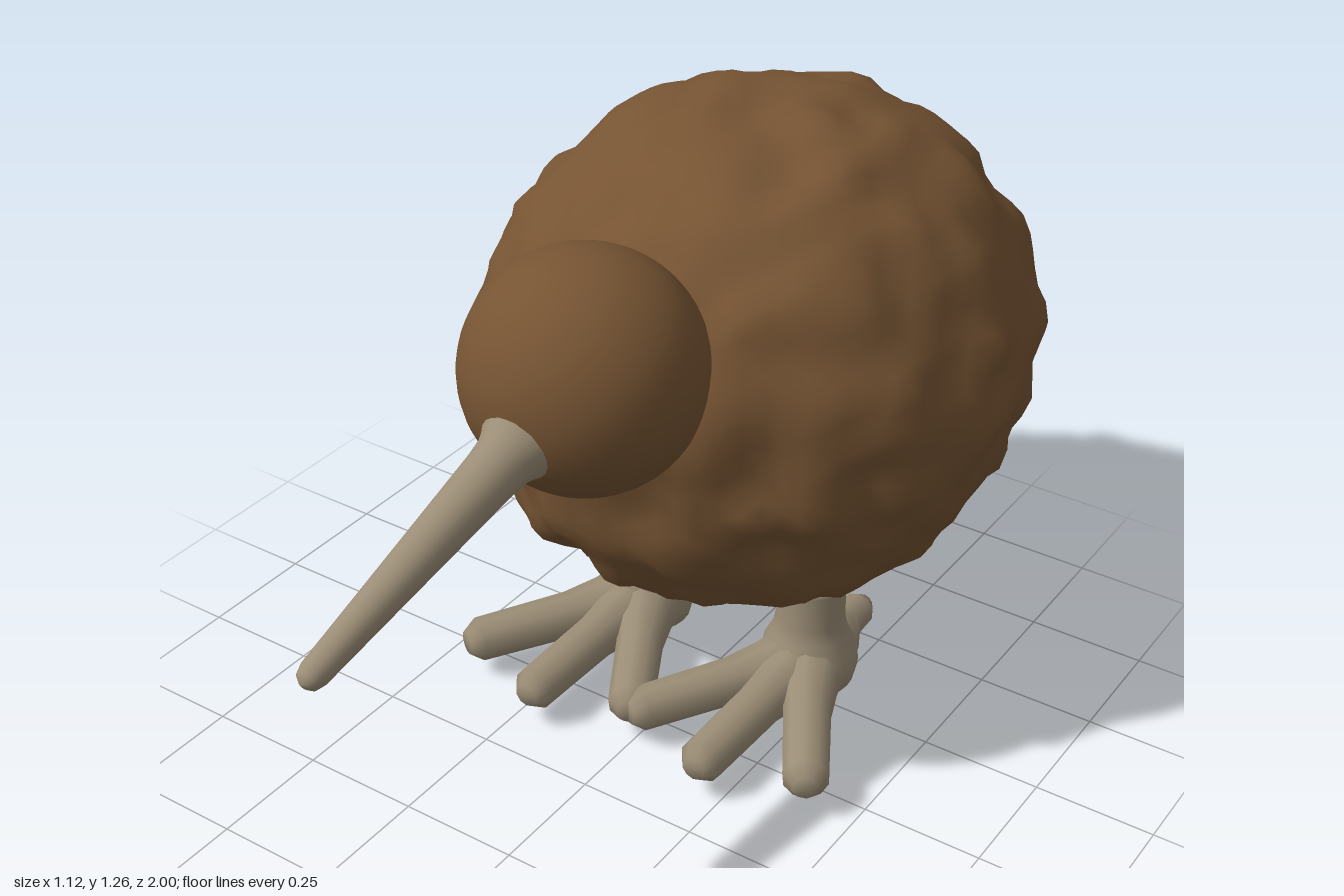
import * as THREE from 'three';
import { mergeVertices } from 'three/addons/utils/BufferGeometryUtils.js';

const V = (x, y, z) => new THREE.Vector3(x, y, z);

// Seeded lattice noise in -1..1
function hash(x, y, z) {
  const s = Math.sin(x * 127.1 + y * 311.7 + z * 74.7) * 43758.5453;
  return (s - Math.floor(s)) * 2 - 1;
}
function noise(p, freq) {
  const q = p.clone().multiplyScalar(freq).addScalar(20);
  const i = q.clone().floor();
  const f = q.sub(i);
  let sum = 0;
  for (let c = 0; c < 8; c++) {
    const a = c & 1, b = (c >> 1) & 1, d = c >> 2;
    const w = (t, on) => { const s = t * t * (3 - 2 * t); return on ? s : 1 - s; };
    sum += hash(i.x + a, i.y + b, i.z + d) * w(f.x, a) * w(f.y, b) * w(f.z, d);
  }
  return sum;
}

// Ruffled egg-shaped body: sphere pushed in and out by noise
function bodyGeometry() {
  let g = new THREE.IcosahedronGeometry(1, 15);
  g.deleteAttribute('uv');
  g.deleteAttribute('normal');
  g = mergeVertices(g, 1e-4);
  const pos = g.attributes.position, p = V(0, 0, 0);
  for (let i = 0; i < pos.count; i++) {
    p.fromBufferAttribute(pos, i).normalize();
    const r = 1 + 0.018 * noise(p, 4) + 0.042 * noise(p, 7);
    pos.setXYZ(i, p.x * r * 0.543, p.y * r * 0.522, p.z * r * 0.615);
  }
  g.computeVertexNormals();
  return g;
}

function lathe(points, segments) {
  return new THREE.LatheGeometry(points.map(([r, y]) => new THREE.Vector2(r, y)), segments);
}

// Places a geometry's +y axis along the line from a to b
function aim(mesh, a, b) {
  mesh.position.copy(a);
  mesh.quaternion.setFromUnitVectors(V(0, 1, 0), b.clone().sub(a).normalize());
  return mesh;
}

export function createModel() {
  const feather = new THREE.MeshStandardMaterial({ color: 0x765433 });
  feather.name = 'featherBrown';
  const horn = new THREE.MeshStandardMaterial({ color: 0x9b8d76 });
  horn.name = 'hornBeige';

  const model = new THREE.Group();
  model.name = 'bird';
  const add = (parent, name, geometry, material) => {
    const mesh = new THREE.Mesh(geometry, material);
    mesh.name = name;
    parent.add(mesh);
    return mesh;
  };

  add(model, 'body', bodyGeometry(), feather).position.set(0, 0.742, -0.372);
  add(model, 'head', new THREE.SphereGeometry(0.23, 48, 32), feather).position.set(0, 0.948, 0.222);

  // Long beak, flared where it meets the head
  const beakBase = V(0, 0.9, 0.4), beakTip = V(0, 0.736, 0.995);
  const len = beakBase.distanceTo(beakTip);
  const beak = add(model, 'beak', lathe([
    [0.072, 0.03], [0.062, 0.048], [0.056, 0.065], [0.052, 0.1], [0.038, len * 0.6],
    [0.027, len - 0.03], [0.021, len - 0.01], [0.01, len - 0.002], [0, len],
  ], 24), horn);
  aim(beak, beakBase, beakTip);

  // Legs: shank flaring into a low hub, with four toes
  const shank = lathe([
    [0, 0.006], [0.02, 0.009], [0.06, 0.026], [0.095, 0.05], [0.104, 0.09], [0.097, 0.13],
    [0.08, 0.165], [0.072, 0.2], [0.071, 0.28], [0.071, 0.298], [0, 0.3],
  ], 24);
  const toeEnds = {
    middleToe: V(0, 0.087, 0.44),
    outerToe: V(0.212, 0.087, 0.366),
    innerToe: V(-0.206, 0.087, 0.366),
    backToe: V(0, 0.085, -0.235),
  };
  for (const [side, s] of [['left', 1], ['right', -1]]) {
    const leg = new THREE.Group();
    leg.name = side + 'Leg';
    leg.position.set(s * 0.205, 0, -0.27);
    add(leg, 'shank', shank, horn);
    for (const [name, end] of Object.entries(toeEnds)) {
      const a = V(0, 0.085, 0), b = V(s * end.x, end.y, end.z);
      const l = a.distanceTo(b);
      const back = name === 'backToe';
      const r = back ? 0.038 : 0.047;
      const toe = add(leg, name, lathe([
        [0.08, 0], [0.076, 0.06], [0.062, 0.11], [r + 0.003, back ? 0.15 : 0.19], [r, l - 0.028],
        [r * 0.55, l], [0, l],
      ], 10), horn);
      aim(toe, a, b);
    }
    model.add(leg);
  }
  return model;
}
